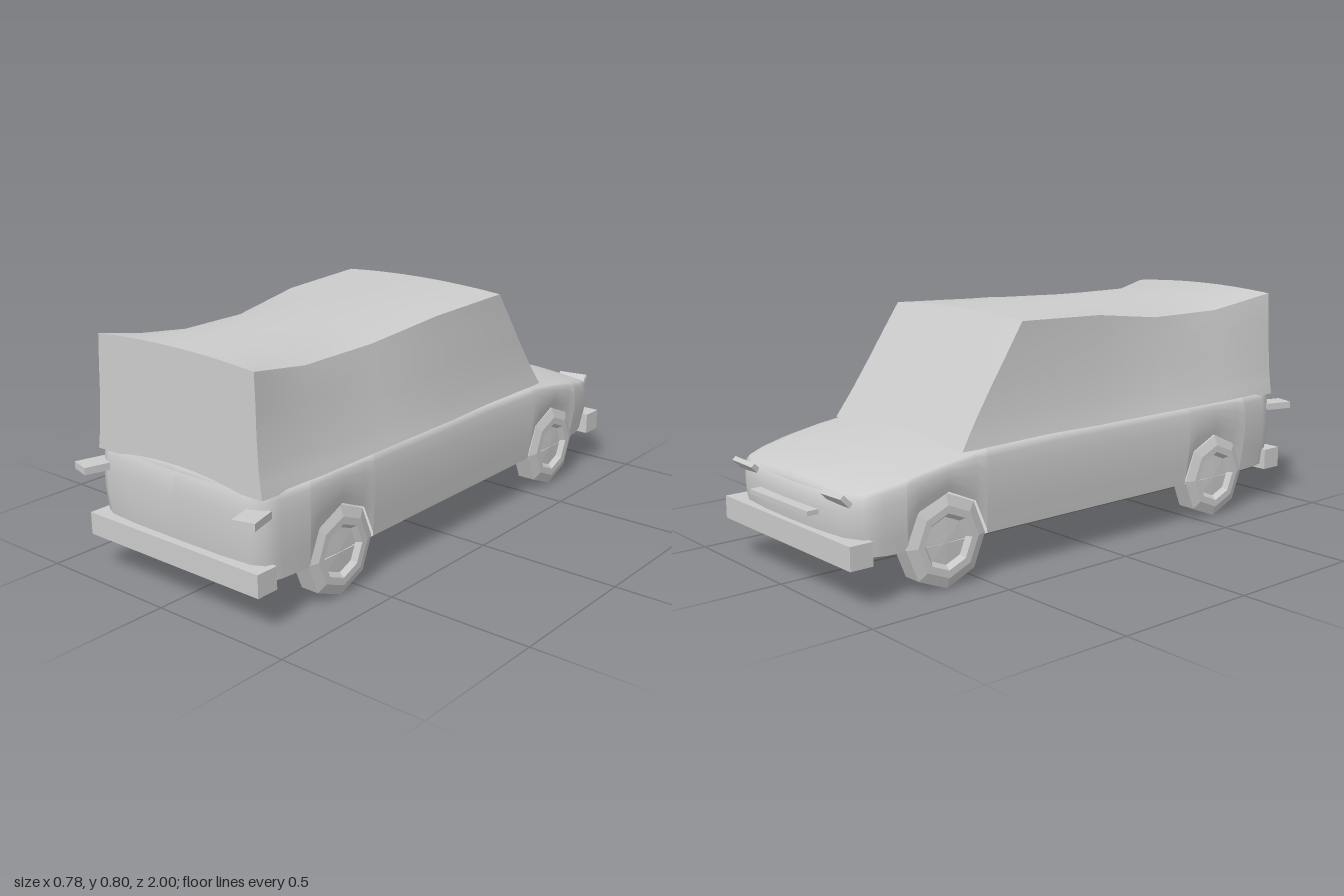
import * as THREE from 'three';

const grey = new THREE.MeshStandardMaterial({ color: 0xcccccc, side: THREE.DoubleSide });
const flat = new THREE.MeshStandardMaterial({ color: 0xcccccc, flatShading: true });
const lerp = THREE.MathUtils.lerp;

// Piecewise linear lookup through [position, value] pairs with falling position
function along(table, p) {
  for (let i = 1; i < table.length; i++) {
    const [a, va] = table[i - 1], [b, vb] = table[i];
    if (p >= b) return lerp(va, vb, THREE.MathUtils.clamp((p - a) / (b - a), 0, 1));
  }
  return table[table.length - 1][1];
}

// Smooth surface through rows of points
function skin(rows) {
  const n = rows[0].length, index = [];
  for (let r = 0; r < rows.length - 1; r++) {
    for (let i = 0; i < n - 1; i++) {
      const a = r * n + i, b = a + n;
      index.push(a, a + 1, b, a + 1, b + 1, b);
    }
  }
  const g = new THREE.BufferGeometry();
  g.setAttribute('position', new THREE.Float32BufferAttribute(rows.flat(2), 3));
  g.setIndex(index);
  g.computeVertexNormals();
  return g;
}

export function createModel() {
  const car = new THREE.Group();
  const add = (name, geometry, material = grey) => {
    const m = new THREE.Mesh(geometry, material);
    m.name = name;
    car.add(m);
    return m;
  };
  const box = (name, w, h, d, x, y, z) => {
    const m = add(name, new THREE.BoxGeometry(w, h, d), flat);
    m.position.set(x, y, z);
    return m;
  };

  // Plan outline of the lower body, one side, with stations at the wheel arches
  const floorY = 0.145, wheelY = 0.152, wheelR = 0.15, axles = [0.585, -0.635];
  const arch = (z) => [[0.149, 0.16], [0.105, 0.258], [0, 0.304], [-0.105, 0.258], [-0.149, 0.16]]
    .map(([d, y]) => [z + d, y]);
  const side = [[0, 0.93], [0.2, 0.928], [0.31, 0.92], [0.35, 0.9], [0.368, 0.85]];
  for (const z of axles) {
    for (const d of [0.151, 0.149, 0.105, 0, -0.105, -0.149, -0.151]) {
      side.push([z + d < -0.7 ? 0.376 : 0.38, z + d]);
    }
    if (z > 0) side.push([0.38, 0.2], [0.38, -0.2]);
  }
  side.push([0.365, -0.86], [0.345, -0.92], [0.28, -0.95], [0.15, -0.962], [0, -0.965]);
  const bottom = (z) => {
    for (const c of axles) if (Math.abs(z - c) < 0.15) return along(arch(c), z);
    return floorY;
  };
  const belt = (z) => along([[-0.38, 0.42], [-0.56, 0.405], [-0.74, 0.375],
    [-0.86, 0.35], [-0.93, 0.333], [-0.965, 0.322]], z);

  // Lower body walls, rising from the floor and arches to the belt line
  const loop = [...side, ...side.slice(0, -1).reverse().map(([x, z]) => [-x, z])];
  const rows = [[0, 0.965, 0.985], [0.25, 0.985, 0.995], [0.5, 1, 1], [0.75, 1, 1], [0.92, 0.99, 0.995], [1, 0.97, 0.985]]
    .map(([t, sx, sz]) => loop.map(([x, z]) => [x * sx, lerp(bottom(z), belt(z), t), z * sz]));
  // Crowned bonnet and deck closing the body above the belt line
  for (const s of [0.92, 0.7, 0.4, 0]) {
    rows.push(loop.map(([x, z]) => [x * s * 0.97,
      belt(z) + 0.028 * (1 - s * s) * Math.abs(x) / 0.38, z * 0.985]));
  }
  add('lowerBody', skin(rows));

  // Flat underside
  const plan = new THREE.Shape(loop.map(([x, z]) => new THREE.Vector2(x * 0.965, z * 0.985)));
  const floor = add('underside', new THREE.ShapeGeometry(plan));
  floor.rotation.x = Math.PI / 2;
  floor.position.y = floorY;

  // Cabin stations: roof z, base z, roof edge half width, roof edge height, base half width
  const stations = [
    [0.905, 0.912, 0.33, 0.788, 0.355], [0.65, 0.65, 0.29, 0.742, 0.37],
    [0.34, 0.34, 0.29, 0.742, 0.37], [0.04, 0, 0.322, 0.778, 0.37],
    [-0.305, -0.56, 0.334, 0.789, 0.352],
  ];
  const wallPoint = ([zt, zb, xr, yr, xb], t, s) => {
    const flare = 0.012 * Math.sin(Math.PI * t);
    return [s * (lerp(xb, xr, t) - flare * (1 - t)), lerp(0.412, yr, t), lerp(zb, zt, t)];
  };
  const roofPoint = ([zt, , xr, yr], u) => [u * xr, lerp(0.803, yr, u * u), zt];
  const levels = [0, 0.12, 0.25, 0.5, 0.75, 1];
  const across = [-1, -0.75, -0.5, -0.25, 0, 0.25, 0.5, 0.75, 1];
  add('roof', skin(stations.map((st) => across.map((u) => roofPoint(st, u)))));
  for (const s of [1, -1]) {
    add(s > 0 ? 'leftCabinSide' : 'rightCabinSide',
      skin(stations.map((st) => levels.map((t) => wallPoint(st, t, s)))));
  }

  // Upright tail panel and raked windscreen, meeting the roof crown
  for (const [name, st] of [['tailPanel', stations[0]], ['windscreen', stations[4]]]) {
    add(name, skin(levels.map((t) => across.map((u) => {
      const [x, y, z] = wallPoint(st, t, 1);
      return [x * u, y + t * (roofPoint(st, u)[1] - st[3]), z];
    }))));
  }

  // Eight-sided wheels with chamfered tyres and recessed hubs
  const tyre = [[0, -0.035], [0.1, -0.045], [wheelR, -0.032], [wheelR, 0.034], [0.115, 0.047],
    [0.09, 0.047], [0.076, 0.03], [0, 0.034]].map(([r, h]) => new THREE.Vector2(r, h));
  for (const z of axles) {
    for (const s of [1, -1]) {
      const wheel = add((s > 0 ? 'left' : 'right') + (z > 0 ? 'TailWheel' : 'NoseWheel'),
        new THREE.LatheGeometry(tyre, 8), flat);
      wheel.rotation.z = -s * Math.PI / 2;
      wheel.position.set(s * 0.331, wheelR, z);
    }
  }

  // Bumpers and grille bar
  box('tailBumper', 0.735, 0.075, 0.08, 0, 0.164, 0.912);
  box('noseBumper', 0.735, 0.075, 0.08, 0, 0.166, -0.942);
  box('grille', 0.34, 0.015, 0.04, 0, 0.262, -0.98);

  // Paired lamps
  for (const s of [1, -1]) {
    const tail = box('tailLamp', 0.075, 0.024, 0.1, s * 0.343, 0.365, 0.943);
    tail.rotation.y = s * 0.27;
    const head = box('headLamp', 0.115, 0.016, 0.042, s * 0.262, 0.32, -0.955);
    head.rotation.set(0.8, s * 0.06, 0);
  }
  return car;
}
